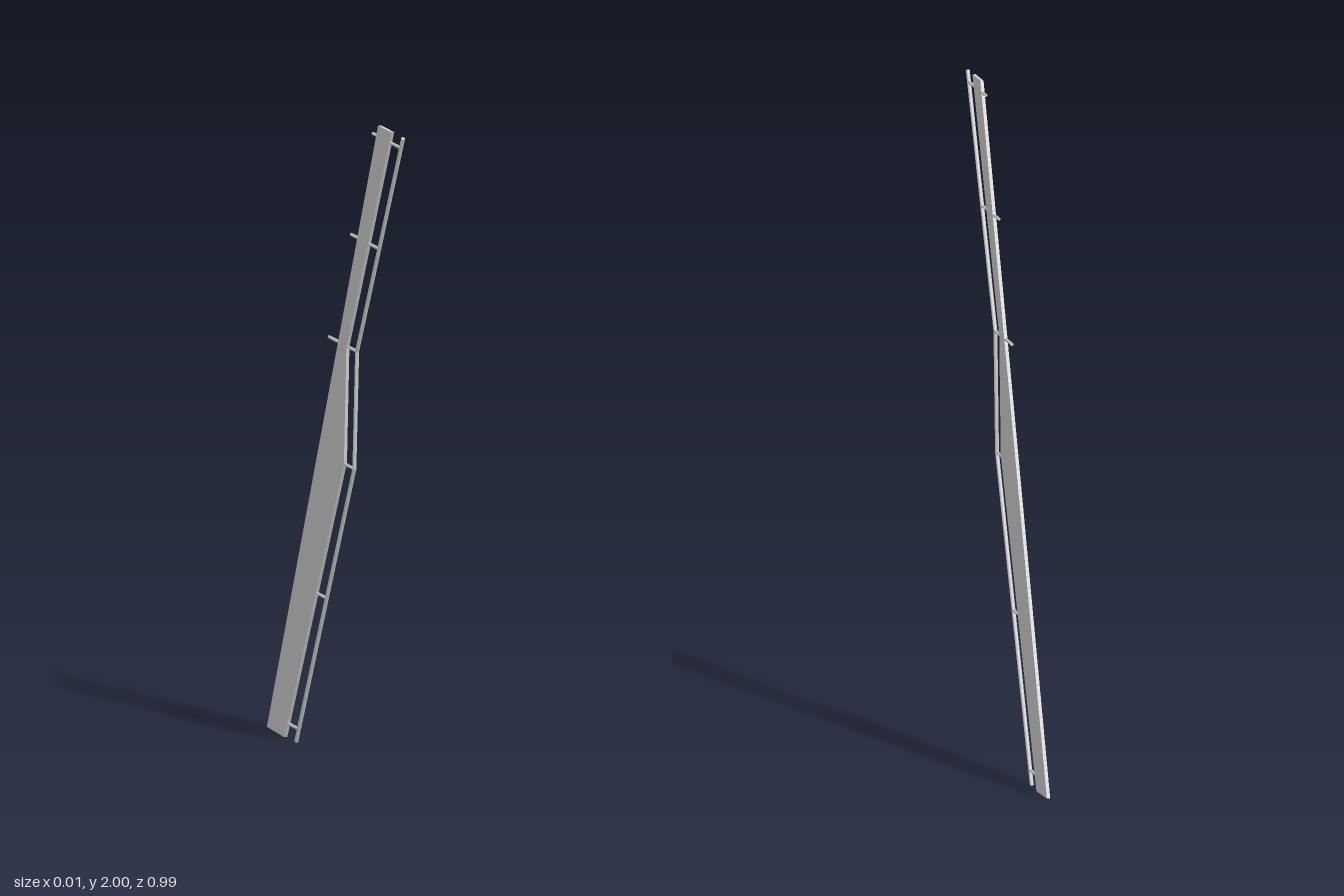
import * as THREE from 'three';

const material = new THREE.MeshStandardMaterial({ color: 0xcccccc });

// Round bar between two points of the x = 0 plane, given as [z, y]
function bar(name, a, b, radius) {
  const start = new THREE.Vector3(0, a[1], a[0]);
  const end = new THREE.Vector3(0, b[1], b[0]);
  const direction = end.clone().sub(start);
  const mesh = new THREE.Mesh(new THREE.CylinderGeometry(radius, radius, direction.length(), 12), material);
  mesh.name = name;
  mesh.position.copy(start).add(end).multiplyScalar(0.5);
  mesh.quaternion.setFromUnitVectors(new THREE.Vector3(0, 1, 0), direction.normalize());
  return mesh;
}

export function createModel() {
  const group = new THREE.Group();
  group.name = 'stairHandrail';

  // Thin side panel, outlined as [z, y] and extruded across x
  const thickness = 0.01;
  const outline = [[-0.366, 0], [-0.493, 0.004], [0.318, 2], [0.414, 2], [0.087, 1.28], [0.069, 0.925]];
  const shape = new THREE.Shape(outline.map(([z, y]) => new THREE.Vector2(-z, y)));
  const panelGeometry = new THREE.ExtrudeGeometry(shape, { depth: thickness, bevelEnabled: false });
  panelGeometry.translate(0, 0, -thickness / 2);
  panelGeometry.rotateY(Math.PI / 2);
  const panel = new THREE.Mesh(panelGeometry, material);
  panel.name = 'sidePanel';
  group.add(panel);

  // Handrail following the flight, the landing and the next flight
  const railRadius = 0.006;
  const path = [[-0.29, 0.003], [0.134, 0.92], [0.154, 1.28], [0.49, 1.998]];
  const rail = new THREE.Group();
  rail.name = 'handrail';
  for (let i = 0; i < path.length - 1; i++) {
    rail.add(bar('railSection', path[i], path[i + 1], railRadius));
    if (i > 0) {
      const joint = new THREE.Mesh(new THREE.SphereGeometry(railRadius, 12, 8), material);
      joint.name = 'railJoint';
      joint.position.set(0, path[i][1], path[i][0]);
      rail.add(joint);
    }
  }
  group.add(rail);

  // Level brackets run from the rail back through the panel
  const brackets = [[-0.271, 0.045], [-0.068, 0.485], [0.134, 0.92], [0.154, 1.28], [0.315, 1.625], [0.474, 1.965]];
  for (const [z, y] of brackets) group.add(bar('railBracket', [z, y], [z - 0.204, y], 0.0048));

  return group;
}
